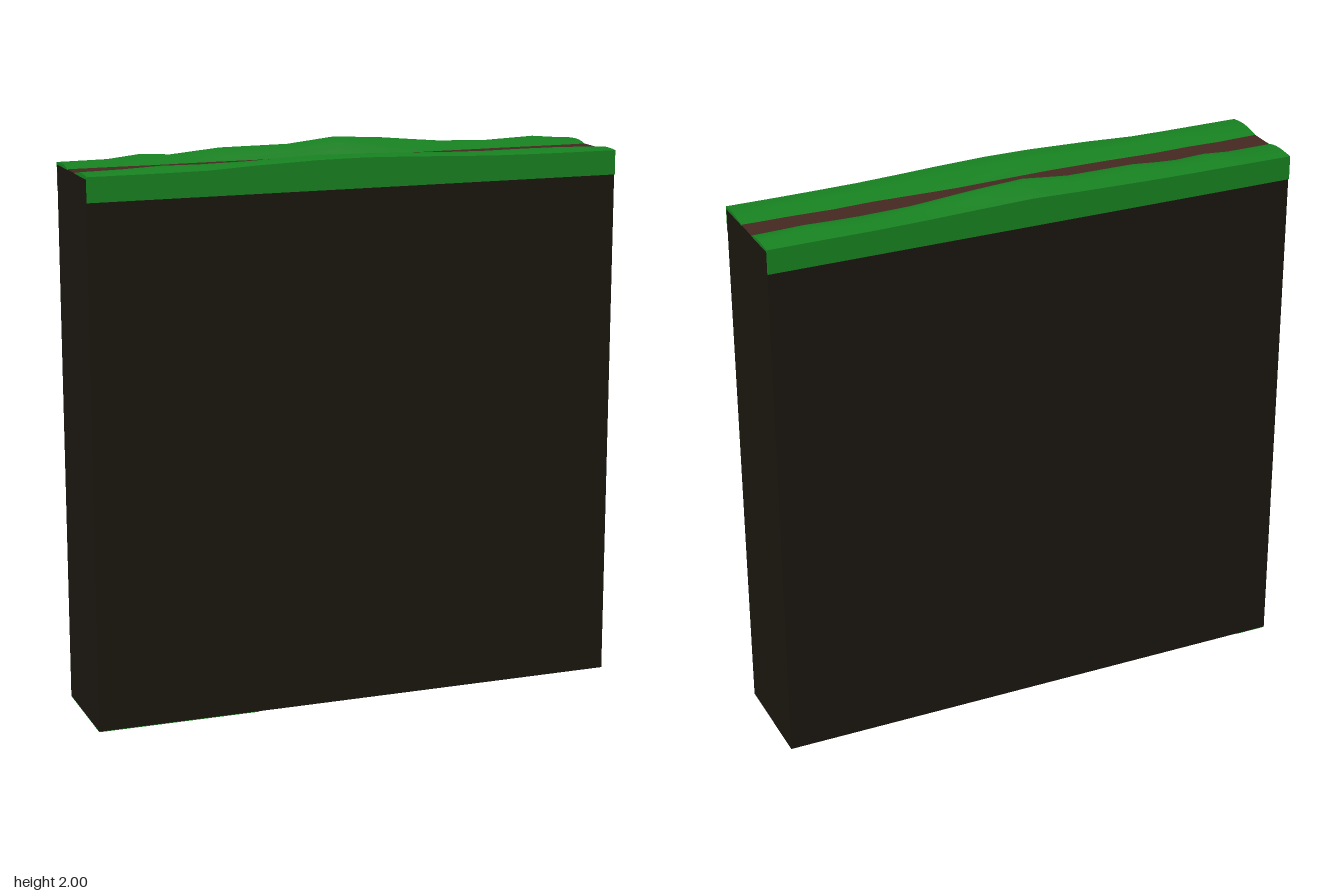
import * as THREE from 'three';
import { toCreasedNormals } from 'three/addons/utils/BufferGeometryUtils.js';

const HALF_X = 0.97, PATH_Y = 1.94, LIP_Y = 1.86;
const material = (color) => new THREE.MeshStandardMaterial({ color, side: THREE.DoubleSide });
const dirt = material(0x1a160f), grass = material(0x178020), pathMat = material(0x44281f);

// Stations along x: [x, height at outer edge, crest height, z of the edge beside the path]
const FRONT = [
  [-0.97, 1.947, 1.953, 0.04], [-0.82, 1.947, 1.956, 0.035], [-0.69, 1.947, 1.962, 0.04],
  [-0.55, 1.948, 1.96, 0.036], [-0.38, 1.957, 1.963, 0.043], [-0.15, 1.965, 1.972, 0.047],
  [0.02, 1.966, 1.971, 0.042], [0.2, 1.961, 1.966, 0.035], [0.35, 1.955, 1.96, 0.038],
  [0.5, 1.95, 1.957, 0.042], [0.65, 1.948, 1.958, 0.036], [0.8, 1.947, 1.957, 0.041], [0.97, 1.947, 1.95, 0.04],
];
const BACK = [
  [-0.97, 1.946, 1.951, 0.048], [-0.8, 1.947, 1.956, 0.05], [-0.69, 1.948, 1.97, 0.047],
  [-0.58, 1.948, 1.963, 0.05], [-0.4, 1.95, 1.98, 0.053], [-0.15, 1.955, 1.981, 0.05],
  [0.02, 1.96, 2.0, 0.052], [0.2, 1.956, 1.989, 0.043], [0.42, 1.95, 1.967, 0.045],
  [0.6, 1.947, 1.959, 0.047], [0.8, 1.947, 1.967, 0.045], [0.97, 1.946, 1.95, 0.047],
];

// Closed cross-section in (z, y): overhanging lip, rounded mound, flat underside
function section(edge, crest, inner, crestZ) {
  const rise = crest - edge, drop = crest - PATH_Y;
  return [
    [0.195, LIP_Y], [0.2, LIP_Y], [0.2, edge],
    [crestZ + 0.045, edge + rise * 0.6], [crestZ + 0.02, edge + rise * 0.92], [crestZ, crest],
    [crestZ - 0.02, crest - drop * 0.1], [crestZ - 0.042, crest - drop * 0.4],
    [inner + 0.012, PATH_Y + drop * 0.2], [inner, PATH_Y - 0.002], [0.195, PATH_Y - 0.002],
  ];
}

// Loft the cross-sections along x; side is +1 for the front strip, -1 for the back
function grassGeometry(stations, side, crestZ) {
  const pos = [], index = [];
  const tri = (a, b, c) => (side > 0 ? index.push(a, b, c) : index.push(a, c, b));
  const rings = stations.map(([, e, c, i]) => section(e, c, i, crestZ));
  const n = rings[0].length;
  rings.forEach((ring, i) => ring.forEach(([z, y]) => pos.push(stations[i][0], y, z * side)));
  for (let i = 0; i < rings.length - 1; i++) {
    for (let j = 0; j < n; j++) {
      const a = i * n + j, b = i * n + (j + 1) % n;
      tri(a, a + n, b + n);
      tri(a, b + n, b);
    }
  }
  for (const i of [0, rings.length - 1]) {
    const contour = rings[i].map(([z, y]) => new THREE.Vector2(z, y));
    for (const [a, b, c] of THREE.ShapeUtils.triangulateShape(contour, [])) tri(i * n + a, i * n + b, i * n + c);
  }
  const geo = new THREE.BufferGeometry();
  geo.setAttribute('position', new THREE.Float32BufferAttribute(pos, 3));
  geo.setIndex(index);
  return toCreasedNormals(geo, 0.7);
}

export function createModel() {
  const group = new THREE.Group();
  const add = (name, geo, mat) => {
    const mesh = new THREE.Mesh(geo, mat);
    mesh.name = name;
    group.add(mesh);
    return mesh;
  };

  // Tall block of earth
  const soilTop = PATH_Y - 0.003;
  add('soilBlock', new THREE.BoxGeometry(2 * HALF_X, soilTop - 0.002, 0.39), dirt).position.y = (soilTop + 0.002) / 2;

  // Footpath between the grass strips
  const path = add('footpath', new THREE.PlaneGeometry(2 * HALF_X, 0.13), pathMat);
  path.rotation.x = -Math.PI / 2;
  path.position.y = PATH_Y;

  // Grass banks
  add('frontGrass', grassGeometry(FRONT, 1, 0.13), grass);
  add('backGrass', grassGeometry(BACK, -1, 0.12), grass);

  // Stepped green patch on the underside
  const steps = [[-0.97, 0.195], [-0.38, 0.195], [-0.38, 0.04], [-0.54, 0.04], [-0.54, -0.07],
    [-0.69, -0.07], [-0.69, -0.155], [-0.85, -0.155], [-0.85, -0.195], [-0.97, -0.195]];
  const shape = new THREE.Shape(steps.map(([x, z]) => new THREE.Vector2(x, z)));
  add('undersidePatch', new THREE.ShapeGeometry(shape), grass).rotation.x = Math.PI / 2;

  return group;
}
